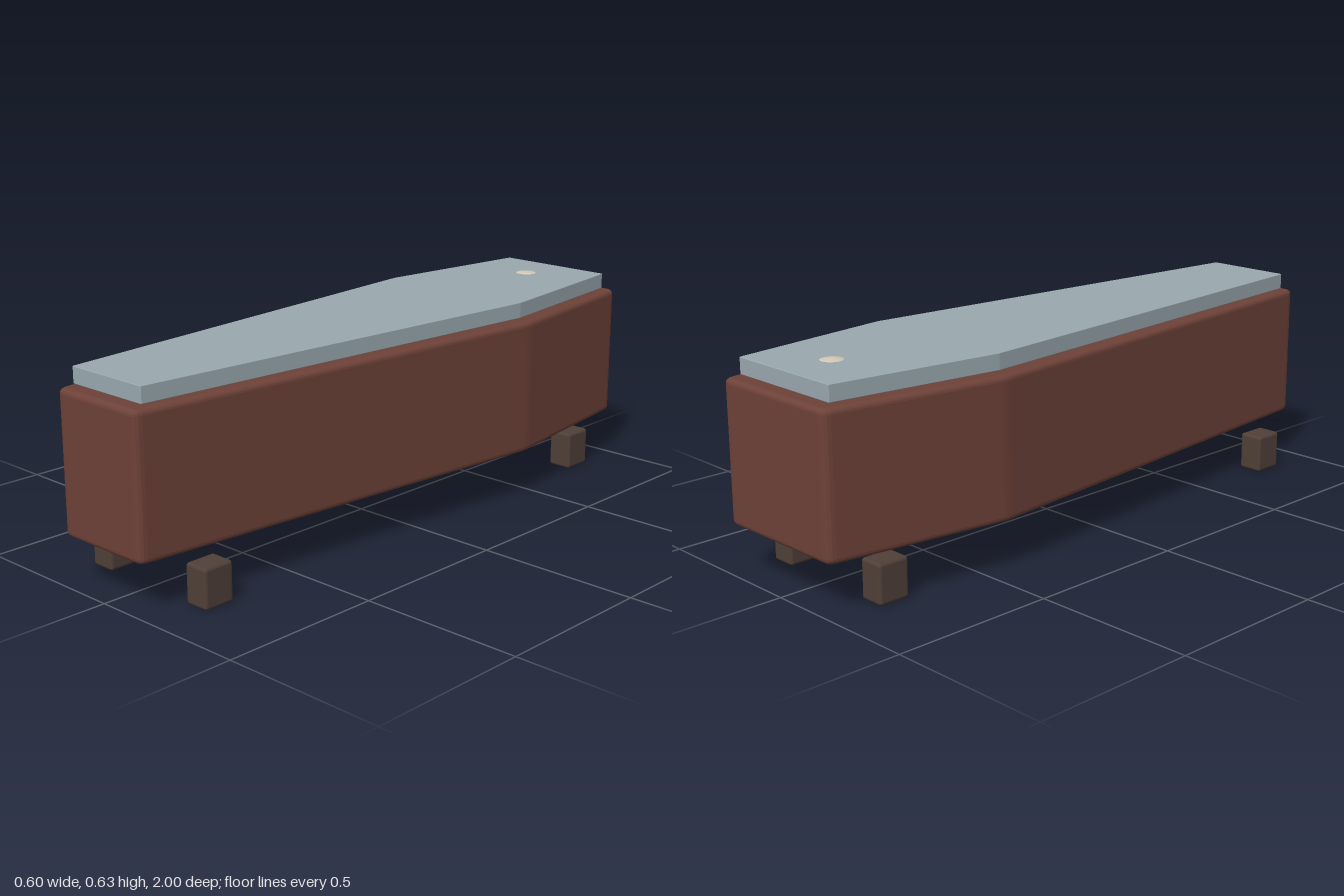
import * as THREE from 'three';
import { RoundedBoxGeometry } from 'three/addons/geometries/RoundedBoxGeometry.js';

// Six-sided outline from half-widths [x, z], mirrored in x, with softened corners
function outline(half, soft) {
  const right = half.map(([x, z]) => new THREE.Vector2(x, -z));
  const left = right.map((p) => new THREE.Vector2(-p.x, p.y)).reverse();
  const pts = [...right, ...left];
  const n = pts.length;
  const shape = new THREE.Shape();
  pts.forEach((p, i) => {
    const toward = (q) => q.clone().sub(p).setLength(soft).add(p);
    const a = toward(pts[(i + n - 1) % n]);
    const b = toward(pts[(i + 1) % n]);
    if (i === 0) shape.moveTo(a.x, a.y);
    else shape.lineTo(a.x, a.y);
    shape.quadraticCurveTo(p.x, p.y, b.x, b.y);
  });
  shape.closePath();
  return shape;
}

// Upright slab between two heights, bevelled inward from the outline
function slab(half, y0, y1, bevel, soft) {
  const geo = new THREE.ExtrudeGeometry(outline(half, soft), {
    depth: y1 - y0 - 2 * bevel,
    bevelSize: bevel,
    bevelThickness: bevel,
    bevelOffset: -bevel,
    bevelSegments: 4,
    curveSegments: 4,
  });
  geo.rotateX(-Math.PI / 2);
  geo.translate(0, y0 + bevel, 0);
  return geo;
}

export function createModel() {
  const model = new THREE.Group();
  model.name = 'coffin';
  const add = (name, geo, color) => {
    const mesh = new THREE.Mesh(geo, new THREE.MeshStandardMaterial({ color }));
    mesh.name = name;
    model.add(mesh);
    return mesh;
  };

  // Body: narrow foot at the front, widest at the shoulders
  add('body', slab([[0.161, 1], [0.3, -0.44], [0.221, -1]], 0.15, 0.57, 0.016, 0.025), 0x6e4238);

  // Lid, floating just above the body
  add('lid', slab([[0.141, 0.96], [0.263, -0.435], [0.196, -0.96]], 0.576, 0.625, 0.002, 0.003), 0x9aa9af);

  // Flattened knob poking through the lid near the head
  const knob = add('knob', new THREE.SphereGeometry(1, 16, 8), 0xd3c8b4);
  knob.scale.set(0.088, 0.067, 0.09);
  knob.position.set(0, 0.563, -0.8);

  // Four block feet
  for (const x of [-0.2, 0.2]) {
    for (const z of [-0.8, 0.8]) {
      const side = x > 0 ? 'Left' : 'Right';
      const foot = add((z > 0 ? 'front' : 'back') + side + 'Foot',
        new RoundedBoxGeometry(0.08, 0.12, 0.1, 3, 0.01), 0x4f4038);
      foot.position.set(x, 0.06, z);
    }
  }
  return model;
}
